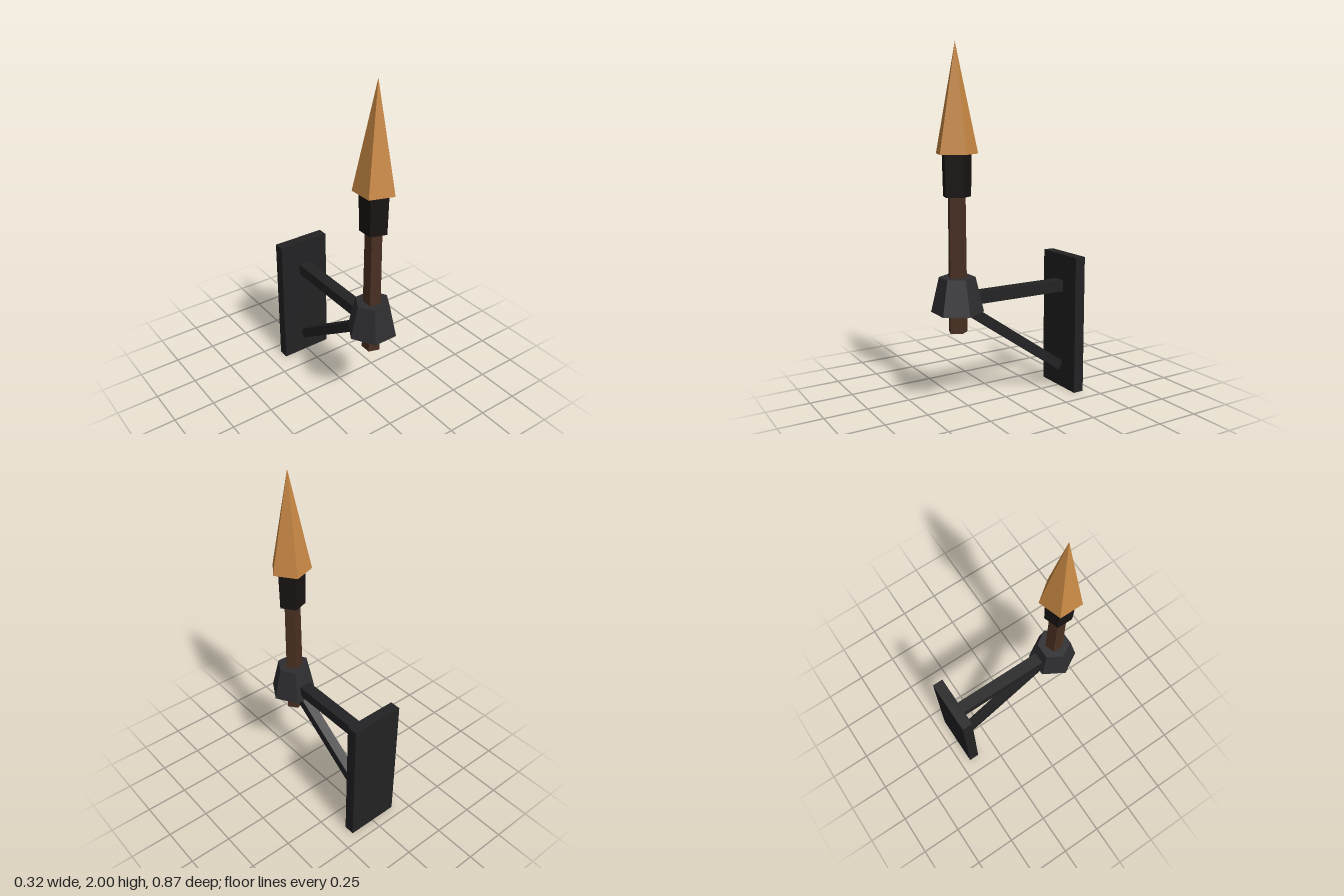
import * as THREE from 'three';

const material = (color) => new THREE.MeshStandardMaterial({ color, flatShading: true });
const iron = material(0x222224);
const collarIron = material(0x2d2d30);
const wood = material(0x4a3022);
const charred = material(0x1a1414);
const fire = material(0xc88844);

const TORCH_Z = 0.31;

export function createModel() {
  const group = new THREE.Group();
  const add = (name, geometry, mat, x, y, z) => {
    const mesh = new THREE.Mesh(geometry, mat);
    mesh.name = name;
    mesh.position.set(x, y, z);
    group.add(mesh);
    return mesh;
  };

  // Upright faceted piece of the torch, with one corner pointing to +x
  const torchPart = (name, rTop, rBottom, y0, y1, sides, mat) => {
    const geometry = rTop > 0
      ? new THREE.CylinderGeometry(rTop, rBottom, y1 - y0, sides)
      : new THREE.ConeGeometry(rBottom, y1 - y0, sides);
    geometry.rotateY(Math.PI / 2);
    return add(name, geometry, mat, 0, (y0 + y1) / 2, TORCH_Z);
  };

  // Bar of rectangular section between two points in the x = 0 plane
  const bar = (name, width, thickness, [y0, z0], [y1, z1]) => {
    const length = Math.hypot(y1 - y0, z1 - z0);
    const mesh = add(name, new THREE.BoxGeometry(width, thickness, length), iron,
      0, (y0 + y1) / 2, (z0 + z1) / 2);
    mesh.rotation.x = -Math.atan2(y1 - y0, z1 - z0);
    return mesh;
  };

  // Wall bracket
  add('wallPlate', new THREE.BoxGeometry(0.32, 0.81, 0.064), iron, 0, 0.405, -0.405);
  bar('arm', 0.073, 0.066, [0.622, -0.4], [0.622, 0.25]);
  bar('brace', 0.06, 0.057, [0.131, -0.371], [0.572, 0.265]);
  torchPart('collar', 0.1, 0.145, 0.556, 0.75, 6, collarIron);

  // Torch
  torchPart('handle', 0.05, 0.055, 0.442, 1.2, 5, wood);
  torchPart('wrap', 0.085, 0.08, 1.19, 1.42, 5, charred);
  torchPart('flame', 0, 0.12, 1.418, 2, 5, fire);

  return group;
}
